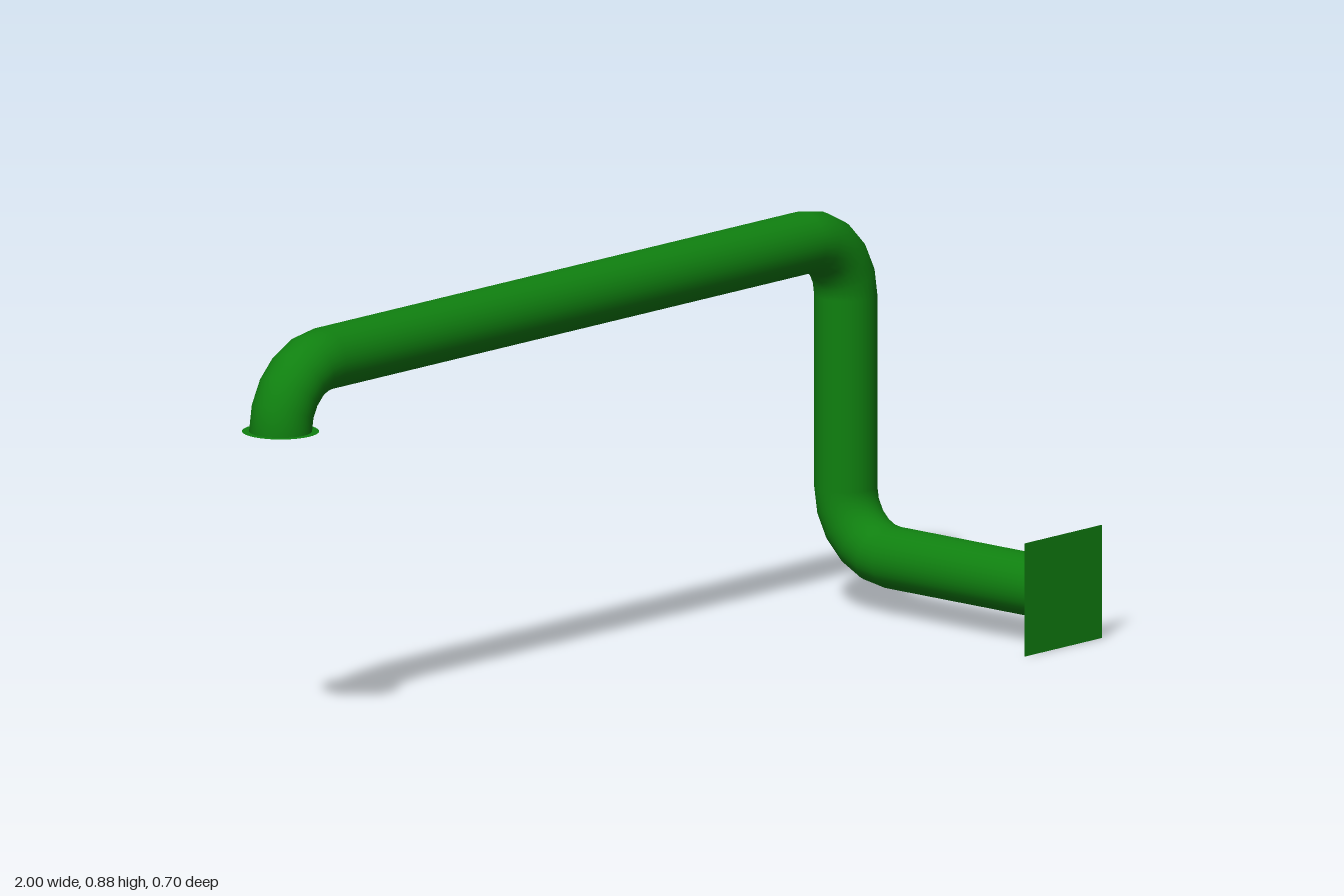
import * as THREE from 'three';

const R = 0.067;      // pipe radius
const BEND = 0.135;   // centre-line radius of the elbows
const SIDES = 32;

export function createModel() {
  const group = new THREE.Group();
  const green = new THREE.MeshStandardMaterial({ color: 0x108010, side: THREE.DoubleSide });

  const add = (name, geometry, position, rotation = [0, 0, 0]) => {
    const mesh = new THREE.Mesh(geometry, green);
    mesh.name = name;
    mesh.position.set(...position);
    mesh.rotation.set(...rotation);
    group.add(mesh);
  };
  const straight = (name, length, position, rotation) =>
    add(name, new THREE.CylinderGeometry(R, R, length, SIDES, 1, true), position, rotation);
  const elbow = (name, position, rotation) =>
    add(name, new THREE.TorusGeometry(BEND, R, SIDES, 5, Math.PI / 2), position, rotation);

  const q = Math.PI / 2;
  const xL = 0.873, xR = -0.918, zBack = -0.267, zFront = 0.35;
  const yTop = 0.81, yLow = 0.124;
  const yArc = yTop - BEND, xa = xR + BEND, xb = xL - BEND;
  const yLowArc = yLow + BEND, zArc = zBack + BEND;

  // Straight runs
  straight('topPipe', xb - xa, [(xa + xb) / 2, yTop, zBack], [0, 0, q]);
  straight('uprightPipe', yArc - yLowArc, [xL, (yArc + yLowArc) / 2, zBack]);
  straight('forwardPipe', zFront - zArc, [xL, yLow, (zFront + zArc) / 2], [q, 0, 0]);

  // Quarter-turn elbows
  elbow('rightElbow', [xa, yArc, zBack], [0, 0, q]);
  elbow('leftElbow', [xb, yArc, zBack]);
  elbow('lowerElbow', [xL, yLowArc, zArc], [0, q, -q]);

  // Thin end plates
  add('roundEndPlate', new THREE.CircleGeometry(0.082, SIDES), [xR, yArc, zBack], [q, 0, 0]);
  add('squareEndPlate', new THREE.PlaneGeometry(0.246, 0.246), [0.877, 0.123, zFront]);

  return group;
}
